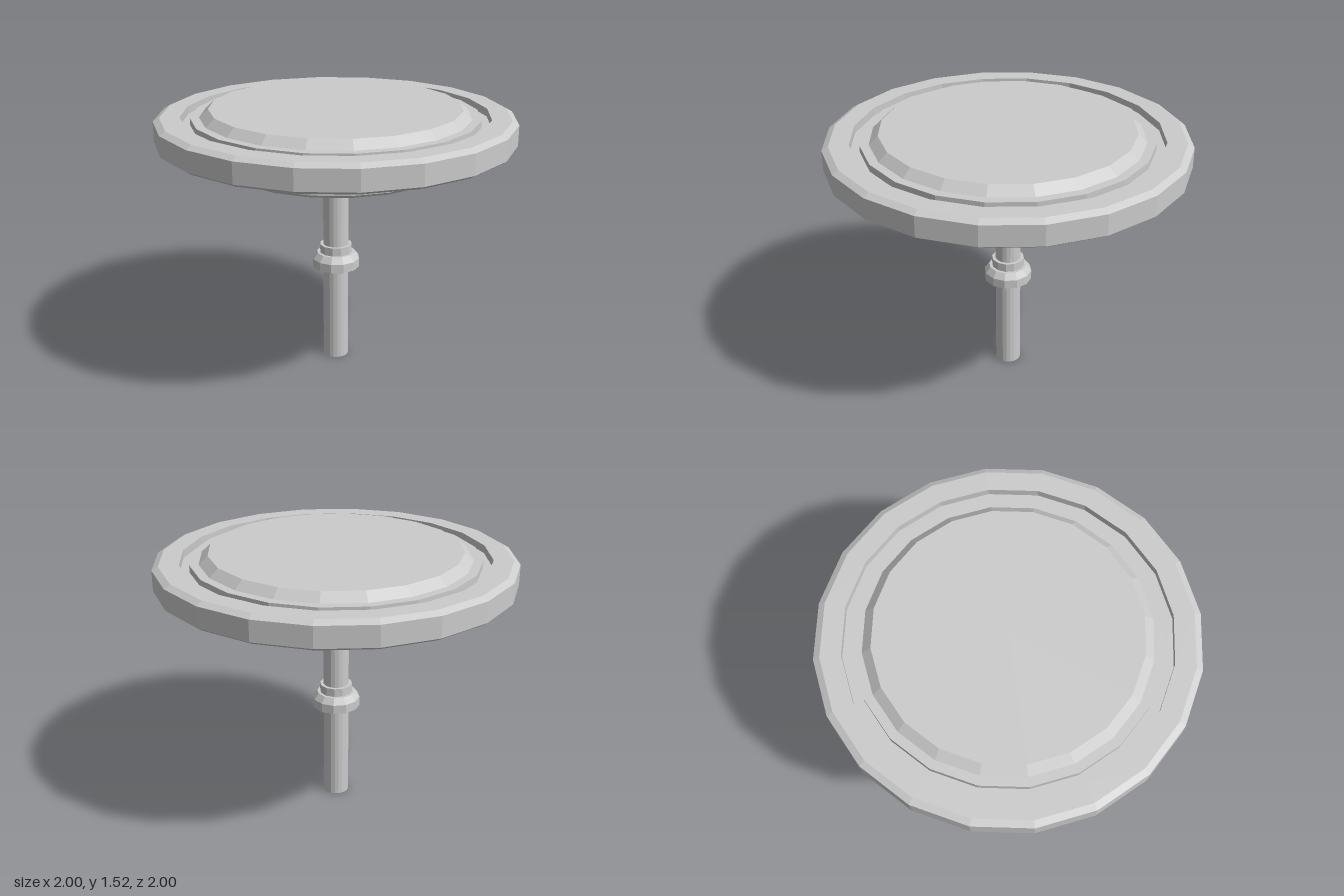
import * as THREE from 'three';

const material = new THREE.MeshStandardMaterial({ color: 0xcccccc, flatShading: true });

// Revolved part; profile is listed as [radius, height], counterclockwise
function turned(name, profile, sides = 20) {
  const points = profile.map(([r, y]) => new THREE.Vector2(r, y));
  const mesh = new THREE.Mesh(new THREE.LatheGeometry(points, sides), material);
  mesh.name = name;
  return mesh;
}

export function createModel() {
  const model = new THREE.Group();
  model.name = 'pedestalDisc';

  // Round top: bevelled rim, sunken groove and raised centre plate
  model.add(turned('discTop', [
    [0, 1.323], [0.975, 1.323], [1, 1.34], [1, 1.455], [0.965, 1.475],
    [0.855, 1.475], [0.855, 1.43], [0.8, 1.43], [0.8, 1.47],
    [0.75, 1.47], [0.7, 1.516], [0, 1.516],
  ]));

  // Stepped hub that joins the top, the spoked wheel and the post
  model.add(turned('hub', [
    [0, 1.183], [0.175, 1.183], [0.215, 1.205], [0.215, 1.277],
    [0.305, 1.277], [0.305, 1.325], [0, 1.325],
  ]));

  // Wheel below the top: bevelled ring with eight spokes
  const wheel = new THREE.Group();
  wheel.name = 'wheel';
  wheel.add(turned('wheelRing', [
    [0.56, 1.19], [0.63, 1.19], [0.645, 1.205], [0.645, 1.265],
    [0.63, 1.28], [0.56, 1.28], [0.56, 1.19],
  ]));
  for (let i = 0; i < 8; i++) {
    const geometry = new THREE.BoxGeometry(0.4, 0.025, 0.05);
    geometry.translate(0.385, 1.235, 0);
    const spoke = new THREE.Mesh(geometry, material);
    spoke.name = 'spoke';
    spoke.rotation.y = (i * Math.PI) / 4;
    wheel.add(spoke);
  }
  model.add(wheel);

  // Post and its clamping collar
  model.add(turned('post', [[0, 0], [0.073, 0], [0.073, 1.2], [0, 1.2]]));
  model.add(turned('collar', [
    [0.06, 0.568], [0.137, 0.568], [0.137, 0.62], [0.11, 0.655],
    [0.093, 0.655], [0.093, 0.704], [0.06, 0.704],
  ], 12));

  return model;
}
